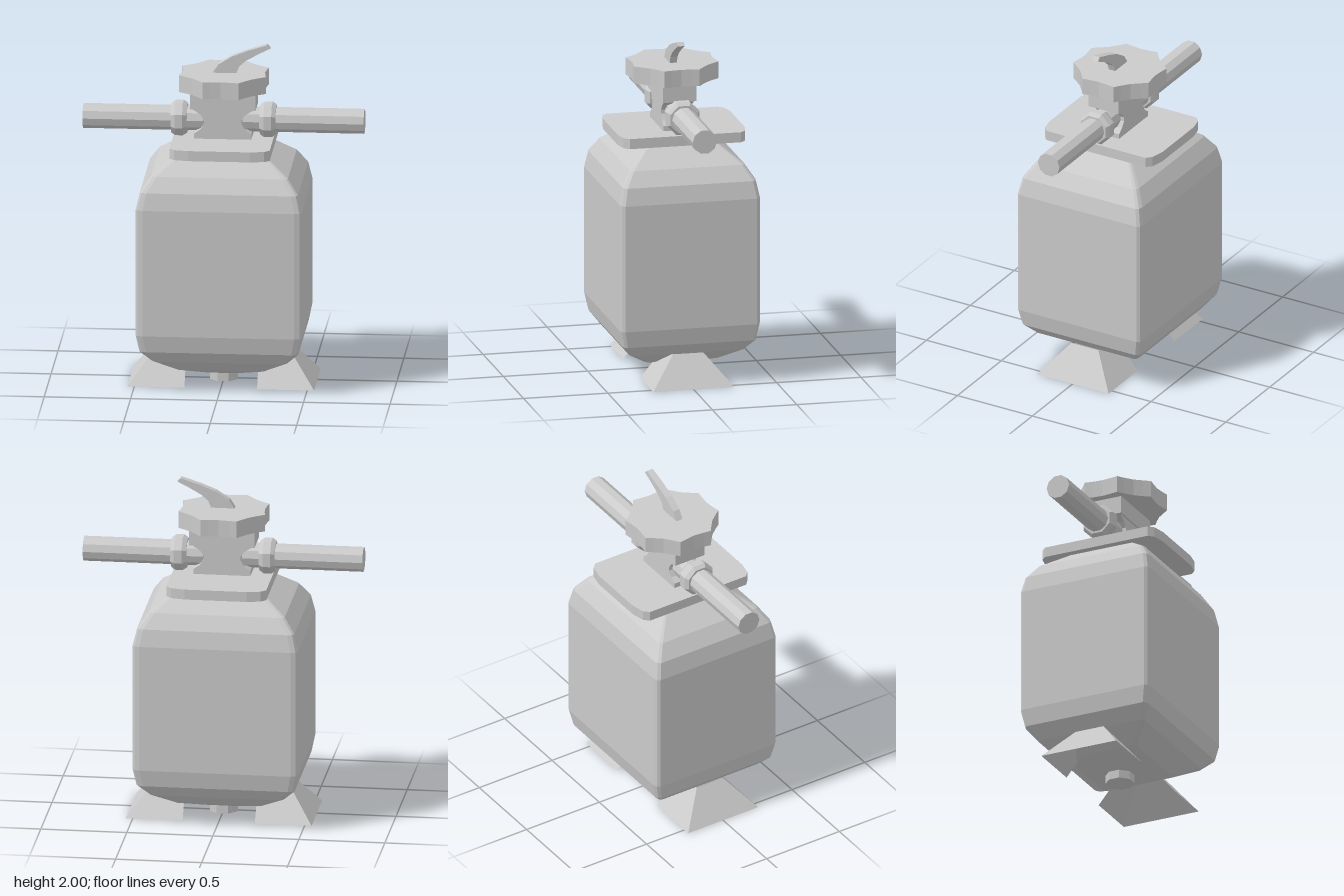
import * as THREE from 'three';

const grey = new THREE.MeshStandardMaterial({ color: 0xcacaca, side: THREE.DoubleSide });
grey.name = 'light grey';

// Adds a faceted mesh with a name
function add(parent, name, geometry) {
  const g = geometry.index ? geometry.toNonIndexed() : geometry;
  g.computeVertexNormals();
  const mesh = new THREE.Mesh(g, grey);
  mesh.name = name;
  parent.add(mesh);
  return mesh;
}

const toShape = (pts) => new THREE.Shape(pts.map(([x, y]) => new THREE.Vector2(x, y)));

// Extrusion along z, centred on z = 0
function slab(pts, depth) {
  return new THREE.ExtrudeGeometry(toShape(pts), { depth, bevelEnabled: false }).translate(0, 0, -depth / 2);
}

// Horizontal plate from an (x, z) outline
function plate(pts, y0, y1) {
  return new THREE.ExtrudeGeometry(toShape(pts.map(([x, z]) => [x, -z])), { depth: y1 - y0, bevelEnabled: false })
    .rotateX(-Math.PI / 2).translate(0, y0, 0);
}

// Box outline with small three-point corners, running from +x to +z
function ring(hx, hz) {
  const cx = hx * 0.085, cz = hz * 0.06, k = 0.3;
  const corner = [[hx, hz - cz], [hx - cx * k, hz - cz * k], [hx - cx, hz]];
  const out = [];
  for (const [sx, sz] of [[1, 1], [-1, 1], [-1, -1], [1, -1]]) {
    const c = corner.map(([x, z]) => [x * sx, z * sz]);
    out.push(...(sx * sz > 0 ? c : c.reverse()));
  }
  return out;
}

// Stacks rings of [half width, half depth, height] into a closed body
function loft(sections) {
  const pos = [], idx = [], n = 12;
  for (const [hx, hz, y] of sections) for (const [x, z] of ring(hx, hz)) pos.push(x, y, z);
  for (let i = 0; i < sections.length - 1; i++) {
    for (let j = 0; j < n; j++) {
      const a = i * n + j, b = i * n + (j + 1) % n;
      idx.push(a, a + n, b, b, a + n, b + n);
    }
  }
  const last = (sections.length - 1) * n;
  for (let j = 1; j < n - 1; j++) {
    idx.push(0, j, j + 1, last, last + j + 1, last + j);
  }
  const g = new THREE.BufferGeometry();
  g.setAttribute('position', new THREE.Float32BufferAttribute(pos, 3));
  g.setIndex(idx);
  return g;
}

// Open splayed foot: sloping outer wall and two side walls
function footGeometry() {
  const pos = [], quad = (a, b, c, d) => pos.push(...a, ...b, ...c, ...a, ...c, ...d);
  const p = (x, y, z) => [x, y, z];
  quad(p(0.54, 0, 0.24), p(0.54, 0, -0.24), p(0.4, 0.18, -0.09), p(0.4, 0.18, 0.09));
  quad(p(0.21, 0, 0.24), p(0.54, 0, 0.24), p(0.4, 0.18, 0.09), p(0.21, 0.18, 0.09));
  quad(p(0.54, 0, -0.24), p(0.21, 0, -0.24), p(0.21, 0.18, -0.09), p(0.4, 0.18, -0.09));
  const g = new THREE.BufferGeometry();
  g.setAttribute('position', new THREE.Float32BufferAttribute(pos, 3));
  return g;
}

export function createModel() {
  const model = new THREE.Group();
  model.name = 'filterTank';

  // Tank body
  add(model, 'tank', loft([
    [0.09, 0.08, 0.05], [0.25, 0.22, 0.1], [0.39, 0.34, 0.18], [0.46, 0.395, 0.25], [0.48, 0.415, 0.35],
    [0.48, 0.415, 1.1], [0.457, 0.395, 1.2], [0.395, 0.34, 1.285], [0.24, 0.2, 1.395],
  ]));

  // Drain plug
  add(model, 'drainPlug', new THREE.CylinderGeometry(0.085, 0.085, 0.08, 8).rotateY(Math.PI / 8).translate(0, 0.04, 0));

  // Top flange with softened corners
  const flange = [[0.29, 0.32], [0.26, 0.35], [0.18, 0.365], [-0.18, 0.365], [-0.26, 0.35], [-0.29, 0.32],
    [-0.29, -0.34], [-0.26, -0.37], [-0.18, -0.388], [0.18, -0.388], [0.26, -0.37], [0.29, -0.34]];
  add(model, 'flange', plate(flange, 1.39, 1.45));

  // Valve neck, waisted at pipe height
  const side = [[0.165, 1.44], [0.165, 1.48], [0.13, 1.505], [0.108, 1.54], [0.108, 1.565], [0.13, 1.595], [0.185, 1.63]];
  const waist = [...side, ...side.map(([x, y]) => [-x, y]).reverse()];
  add(model, 'valveNeck', slab(waist, 0.18));
  add(model, 'valveBlock', new THREE.BoxGeometry(0.38, 0.11, 0.2).translate(0, 1.68, 0));

  // Lobed cap with eight shallow hollows
  const cap = [];
  for (let i = 0; i < 8; i++) {
    for (const [deg, r] of [[22.5, 0.272], [31, 0.252], [45, 0.238], [59, 0.252]]) {
      const a = (deg + i * 45) * Math.PI / 180;
      cap.push([r * Math.cos(a), r * Math.sin(a)]);
    }
  }
  add(model, 'cap', plate(cap, 1.73, 1.83));

  // Curved lever handle
  add(model, 'handle', slab([
    [-0.07, 1.82], [0.07, 1.82], [0.09, 1.87], [0.13, 1.905], [0.2, 1.945], [0.27, 1.98],
    [0.25, 2], [0.14, 1.965], [0.05, 1.93], [-0.03, 1.88],
  ], 0.042)).position.z = 0.01;

  // Pipes, union nuts and feet on both sides
  const nut = [[0.07, 0.21], [0.087, 0.21], [0.104, 0.235], [0.104, 0.28], [0.087, 0.303], [0.07, 0.303]]
    .map(([r, h]) => new THREE.Vector2(r, h));
  for (const [label, turn] of [['left', 0], ['right', Math.PI]]) {
    const group = new THREE.Group();
    group.name = label + 'Fittings';
    group.rotation.y = turn;
    add(group, label + 'Pipe', new THREE.CylinderGeometry(0.072, 0.072, 0.7, 10)
      .rotateZ(-Math.PI / 2).translate(0.463, 1.55, 0));
    add(group, label + 'Nut', new THREE.LatheGeometry(nut, 8).rotateY(Math.PI / 8)
      .rotateZ(-Math.PI / 2).translate(0, 1.55, 0));
    add(group, label + 'Foot', footGeometry());
    model.add(group);
  }
  return model;
}
